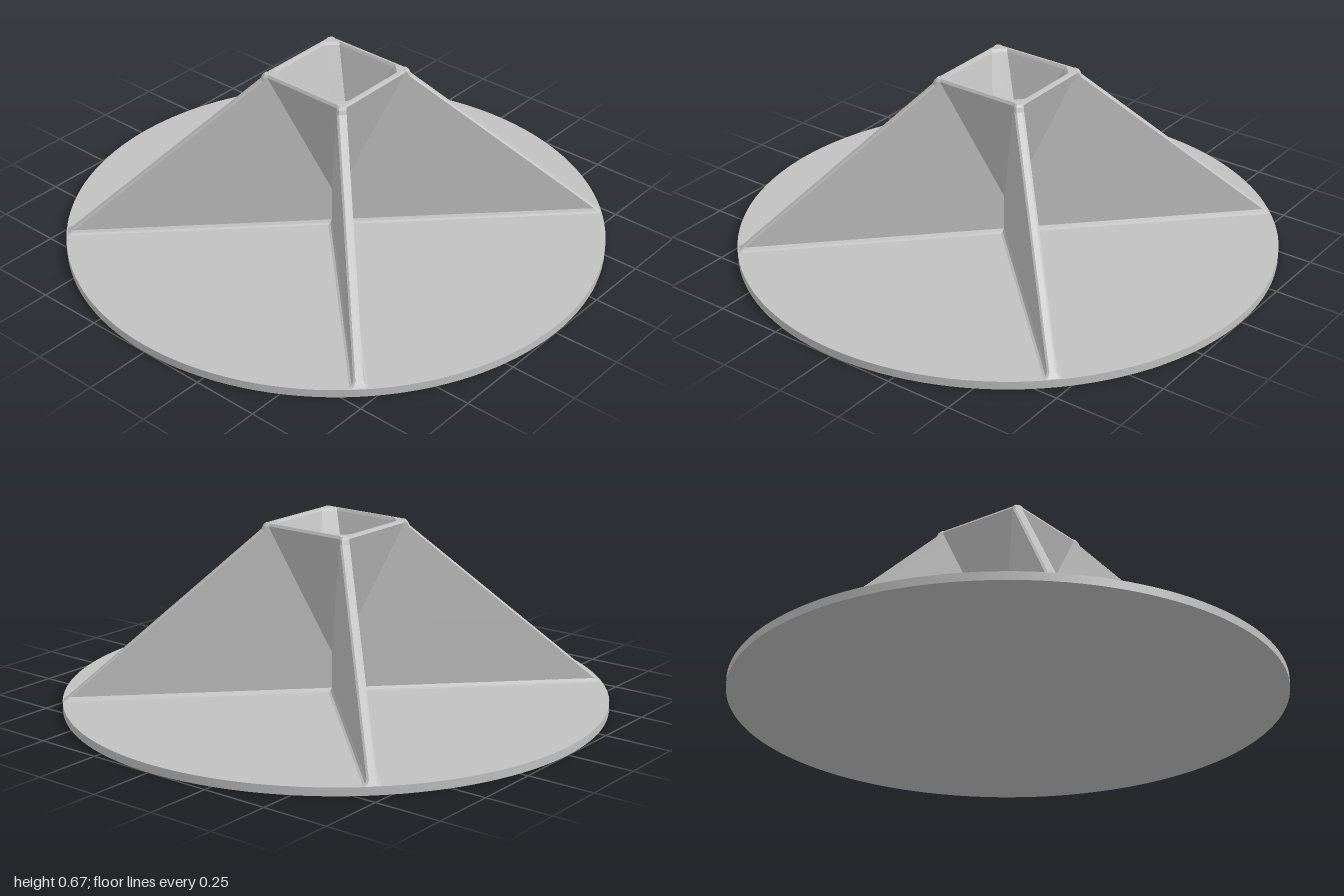
import * as THREE from 'three';

const BASE_H = 0.03, TOP = 0.67;

// Skin a list of closed rings (same point count, angle increasing from +x to +z), flat shaded.
function loft(rings) {
  const pos = [];
  const tri = (a, b, c) => {
    const area = new THREE.Vector3().crossVectors(b.clone().sub(a), c.clone().sub(a)).length();
    if (area > 1e-8) for (const p of [a, b, c]) pos.push(p.x, p.y, p.z);
  };
  for (let i = 0; i < rings.length - 1; i++) {
    const a = rings[i], b = rings[i + 1], n = a.length;
    for (let j = 0; j < n; j++) {
      const k = (j + 1) % n;
      tri(a[j], b[j], a[k]);
      tri(a[k], b[j], b[k]);
    }
  }
  const g = new THREE.BufferGeometry();
  g.setAttribute('position', new THREE.Float32BufferAttribute(pos, 3));
  g.computeVertexNormals();
  return g;
}

// Square ring of half-width a with corners cut by c.
function cutSquare(y, a, c) {
  const pts = [];
  for (let q = 0; q < 4; q++) {
    const s = Math.round(Math.sin(q * Math.PI / 2)), k = Math.round(Math.cos(q * Math.PI / 2));
    for (const [x, z] of [[a, a - c], [a - c, a]]) {
      pts.push(new THREE.Vector3(x * k - z * s, y, x * s + z * k));
    }
  }
  return pts;
}

// Horizontal slice through a fin lying along +x, with bevelled outer edge.
function finSlice(y, w, outer) {
  const inner = Math.max(0, 0.542 * (y - 0.28)) + 0.006, c = 0.007;
  return [[inner, -w], [outer - c, -w], [outer, c - w], [outer, w - c], [outer - c, w], [inner, w]]
    .map(([x, z]) => new THREE.Vector3(x, y, z));
}

export function createModel() {
  const group = new THREE.Group();
  const grey = new THREE.MeshStandardMaterial({ color: 0xc0c0c0 });
  grey.name = 'plain grey';
  const add = (name, geometry) => {
    const mesh = new THREE.Mesh(geometry, grey);
    mesh.name = name;
    group.add(mesh);
    return mesh;
  };

  // Round base plate
  add('basePlate', new THREE.CylinderGeometry(1, 1, BASE_H, 128)).position.y = BASE_H / 2;

  // Tapered square cup: outside wall, bevelled rim, then the inside down to a point
  add('cup', loft([
    cutSquare(0.11, 0, 0),
    cutSquare(0.66, 0.186, 0.02),
    cutSquare(TOP, 0.18, 0.02),
    cutSquare(TOP, 0.172, 0.04),
    cutSquare(0.66, 0.166, 0.04),
    cutSquare(0.37, 0.07, 0.07),
    cutSquare(0.28, 0, 0),
  ]));

  // Four diagonal fins, flared into a small fillet at the base
  const w = 0.017, slope = (y) => 0.995 - (y - BASE_H) * 1.18;
  const slices = [
    finSlice(BASE_H - 0.005, w + 0.014, 0.995),
    finSlice(BASE_H, w + 0.014, 0.995),
    finSlice(0.034, w + 0.006, slope(0.034)),
    finSlice(0.044, w, slope(0.044)),
    finSlice(0.28, w, slope(0.28)),
    finSlice(0.645, w, slope(0.645)),
    finSlice(0.66, w, 0.262),
    finSlice(TOP - 0.001, w - 0.003, 0.254),
  ];
  const cap = new THREE.Vector3(0.235, TOP - 0.001, 0);
  slices.push(slices[0].map(() => cap));
  const finGeometry = loft(slices);
  for (let i = 0; i < 4; i++) {
    add('fin' + (i + 1), finGeometry).rotation.y = Math.PI / 4 + i * Math.PI / 2;
  }
  return group;
}
